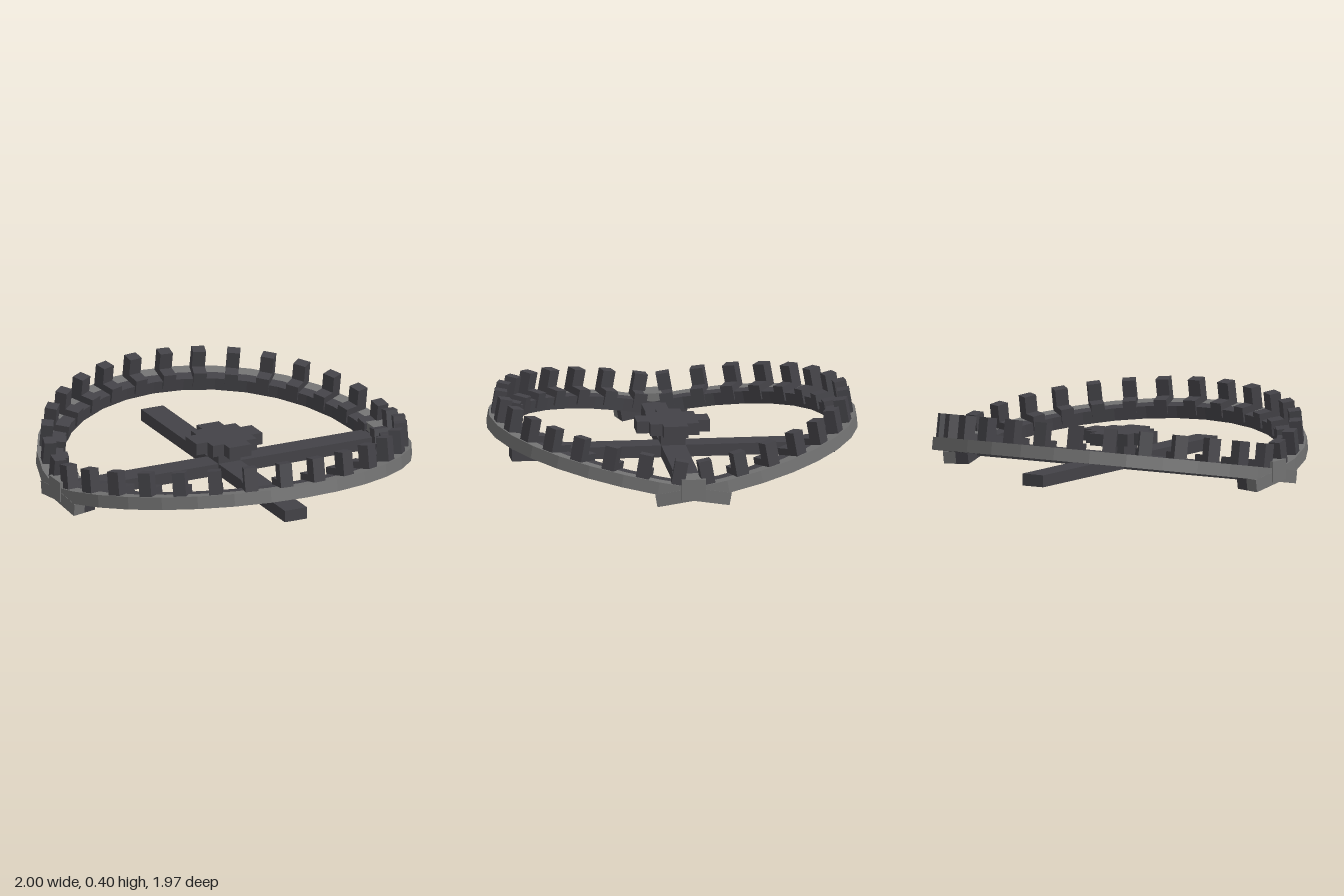
import * as THREE from 'three';

const STEP = Math.PI / 16;          // one ring segment
const TILT = THREE.MathUtils.degToRad(10);
const RING_H = 0.068;

export function createModel() {
  const model = new THREE.Group();
  model.name = 'crownGear';
  const dark = new THREE.MeshStandardMaterial({ color: 0x434247, flatShading: true });
  dark.name = 'dark wood';
  const grey = new THREE.MeshStandardMaterial({ color: 0x727272, flatShading: true });
  grey.name = 'grey rim';

  function box(parent, name, mat, size, pos) {
    const mesh = new THREE.Mesh(new THREE.BoxGeometry(...size), mat);
    mesh.name = name;
    mesh.position.set(...pos);
    parent.add(mesh);
    return mesh;
  }

  // Faceted arc, running one segment past the half circle at both ends
  function arc(parent, name, mat, inner, outer) {
    const pts = [];
    for (let i = -1; i <= 17; i++) pts.push(new THREE.Vector2(Math.cos(i * STEP) * outer, Math.sin(i * STEP) * outer));
    for (let i = 17; i >= -1; i--) pts.push(new THREE.Vector2(Math.cos(i * STEP) * inner, Math.sin(i * STEP) * inner));
    const geo = new THREE.ExtrudeGeometry(new THREE.Shape(pts), { depth: RING_H, bevelEnabled: false });
    geo.rotateX(-Math.PI / 2);
    const mesh = new THREE.Mesh(geo, mat);
    mesh.name = name;
    parent.add(mesh);
  }

  // Two half rings, each tilted up away from the middle
  for (const side of ['back', 'front']) {
    const turn = new THREE.Group();
    turn.name = side + 'Half';
    turn.rotation.y = side === 'front' ? Math.PI : 0;
    const half = new THREE.Group();
    half.name = side + 'HalfRing';
    half.position.y = 0.035;
    half.rotation.x = TILT;
    turn.add(half);
    model.add(turn);

    arc(half, 'outerRim', grey, 0.93, 1.0);
    arc(half, 'innerRim', dark, 0.86, 0.93);

    // Teeth: an upright peg and a low block on the inside of the rim
    for (let i = 0; i < 16; i++) {
      const tooth = new THREE.Group();
      tooth.name = 'tooth';
      tooth.rotation.y = (i + 0.5) * STEP;
      box(tooth, 'peg', dark, [0.065, 0.17, 0.07], [0.952, 0.11, 0]);
      box(tooth, 'innerBlock', dark, [0.08, 0.08, 0.07], [0.885, 0.065, 0]);
      half.add(tooth);
    }
  }

  // Joints where the two halves meet
  for (const s of [1, -1]) box(model, 'joint', grey, [0.14, 0.11, 0.13], [s * 0.93, 0.095, 0]);

  // Crossed spokes
  box(model, 'sideSpoke', dark, [1.72, 0.064, 0.13], [0, 0.07, 0]);
  box(model, 'lengthSpoke', dark, [0.13, 0.064, 1.72], [0, 0.07, 0]);

  // Hub on a short post
  box(model, 'hubPost', dark, [0.13, 0.08, 0.13], [0, 0.14, 0]);
  box(model, 'hubCentre', dark, [0.26, 0.064, 0.26], [0, 0.203, 0]);
  box(model, 'hubSideBar', dark, [0.39, 0.064, 0.13], [0, 0.203, 0]);
  box(model, 'hubLengthBar', dark, [0.13, 0.064, 0.39], [0, 0.203, 0]);

  return model;
}
